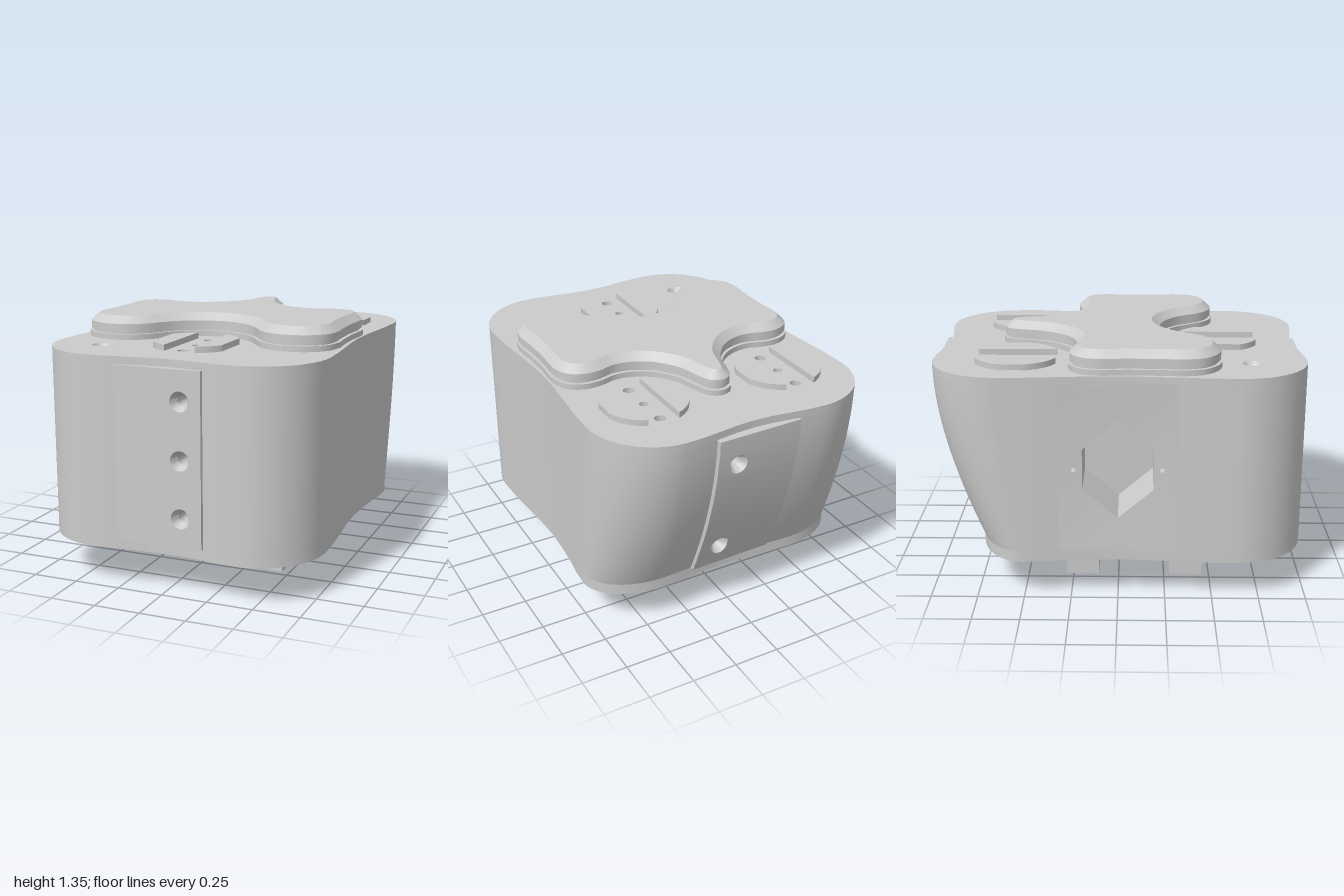
import * as THREE from 'three';
import { toCreasedNormals, mergeGeometries, mergeVertices } from 'three/addons/utils/BufferGeometryUtils.js';

const mat = new THREE.MeshStandardMaterial({ color: 0xcccccc, side: THREE.DoubleSide });
const Y0 = 0.21, Y1 = 0.27, Y2 = 1.18, Y3 = 1.22;
const V2 = (x, y) => new THREE.Vector2(x, y);
const V3 = (x, y, z) => new THREE.Vector3(x, y, z);

// Waisted plan of the case: distance of the side and end walls
const wave = t => (1 - Math.cos(Math.PI * t)) / 2;
const sideX = z => 0.72 + 0.037 * wave(z / 0.62);
const endZ = x => 0.947 + 0.038 * wave(x / 0.4);
// The back wall sweeps inwards towards the base
const backZ = y => 0.74 + 0.245 * (1 - Math.pow(1 - THREE.MathUtils.clamp((y - Y1) / (Y2 - Y1), 0, 1), 1.7));
const sweep = (z, y) => (z < -0.3 ? -0.3 + (z + 0.3) * (backZ(y) - 0.3) / 0.685 : z);

// Plan outline as (x, z) points: one side, corner, end and corner, then the same turned by half
function planOutline() {
  const half = [];
  for (let i = 0; i < 8; i++) { const z = -0.62 + i * 0.155; half.push(V2(sideX(z), z)); }
  for (let i = 0; i < 12; i++) {
    const a = (i / 12) * Math.PI / 2;
    half.push(V2(0.4 + 0.357 * Math.cos(a), 0.62 + 0.365 * Math.sin(a)));
  }
  for (let i = 0; i < 8; i++) { const x = 0.4 - i * 0.1; half.push(V2(x, endZ(x))); }
  for (let i = 0; i < 12; i++) {
    const a = Math.PI / 2 + (i / 12) * Math.PI / 2;
    half.push(V2(-0.4 + 0.357 * Math.cos(a), 0.62 + 0.365 * Math.sin(a)));
  }
  // the front end stands slightly further out than the back
  return [...half, ...half.map(p => V2(-p.x, -p.y))].map(p => V2(p.x, p.y > 0.62 ? p.y * 1.009 : p.y));
}
const PLAN = planOutline();

// Skin between rows of points; skip(a, b) leaves gaps
function loft(rows, closed = true, skip = () => false) {
  const n = rows[0].length, idx = [];
  for (let r = 0; r < rows.length - 1; r++) {
    for (let i = 0; i < (closed ? n : n - 1); i++) {
      const j = (i + 1) % n, a = r * n + i, b = r * n + j;
      if (!skip(rows[0][i], rows[0][j])) idx.push(a, a + n, b, b, a + n, b + n);
    }
  }
  const g = new THREE.BufferGeometry().setFromPoints(rows.flat());
  g.setIndex(idx);
  g.computeVertexNormals();
  return g;
}

const circle = (x, y, r) => new THREE.Path().absarc(x, y, r, 0, Math.PI * 2, true);

// Horizontal plate from (x, z) points, holes as [x, z, r]
function slab(pts, y0, y1, holes = []) {
  const s = new THREE.Shape(pts.map(p => V2(p.x, -p.y)));
  holes.forEach(([x, z, r]) => s.holes.push(circle(x, -z, r)));
  const g = new THREE.ExtrudeGeometry(s, { depth: y1 - y0, bevelEnabled: false, curveSegments: 20 });
  return toCreasedNormals(g.rotateX(-Math.PI / 2).translate(0, y0, 0), 0.6);
}

export function createModel() {
  const model = new THREE.Group();
  const add = (name, geo) => {
    const m = new THREE.Mesh(geo, mat);
    m.name = name;
    model.add(m);
    return m;
  };
  const rect = (x0, x1, z0, z1) => [V2(x0, z0), V2(x1, z0), V2(x1, z1), V2(x0, z1)];

  // Countersunk screw hole lining, opening along +y before turning
  const screwHole = (name, x, y, z, turn, blind) => {
    const p = [V2(0.052, 0), V2(0.027, -0.04), V2(0.027, -0.2)];
    if (blind) p.push(V2(0, -0.2));
    const m = add(name, toCreasedNormals(new THREE.LatheGeometry(p, 24), 0.5));
    m.position.set(x, y, z);
    m.rotation.x = turn;
  };

  // Case walls, open behind the end panels and the hexagonal window
  const rows = [];
  for (let i = 0; i <= 14; i++) {
    const y = Y1 + (Y2 - Y1) * i / 14;
    rows.push(PLAN.map(p => V3(p.x, y, sweep(p.y, y))));
  }
  add('caseWall', loft(rows, true, (a, b) => {
    const x = (a.x + b.x) / 2, z = (a.z + b.z) / 2;
    return Math.abs(x) < 0.2 || (x < 0 && Math.abs(z) < 0.31);
  }));

  // Side wall with hexagonal window and two pin holes
  const hex = [[0, 0.27], [0.185, 0.11], [0.185, -0.11], [0, -0.27], [-0.185, -0.11], [-0.185, 0.11]]
    .map(([z, y]) => V2(z, 0.72 + y));
  const side = new THREE.Shape(rect(-0.31, 0.31, Y1, Y2));
  side.holes.push(new THREE.Path(hex), circle(0.23, 0.72, 0.012), circle(-0.23, 0.72, 0.012));
  const sideGeo = new THREE.ShapeGeometry(side, 8);
  const sp = sideGeo.attributes.position;
  for (let i = 0; i < sp.count; i++) sp.setXYZ(i, -sideX(sp.getX(i)), sp.getY(i), sp.getX(i));
  sideGeo.computeVertexNormals();
  add('windowWall', sideGeo);
  add('windowPocket', toCreasedNormals(loft([
    hex.map(p => V3(-sideX(p.x), p.y, p.x)), hex.map(p => V3(-0.4, p.y, p.x))]), 0.3));
  add('windowPocketFloor', new THREE.ShapeGeometry(new THREE.Shape(hex)).rotateY(-Math.PI / 2).translate(-0.4, 0, 0));

  // End panels, built in strips so the rear one follows the sweep
  const cuts = [Y1, 0.345, 0.51, 0.64, 0.8, 0.94, 1.1, Y2];
  const endPanel = (name, zAt, holes) => {
    const strips = [];
    for (let i = 0; i < cuts.length - 1; i++) {
      const s = new THREE.Shape(rect(-0.25, 0.225, cuts[i], cuts[i + 1]));
      holes.filter(h => h > cuts[i] && h < cuts[i + 1]).forEach(h => s.holes.push(circle(0.11, h, 0.052)));
      strips.push(new THREE.ShapeGeometry(s, 12));
    }
    let g = mergeGeometries(strips);
    const p = g.attributes.position;
    for (let i = 0; i < p.count; i++) p.setZ(i, zAt(p.getX(i), p.getY(i)));
    g.deleteAttribute('normal');
    g.deleteAttribute('uv');
    g = mergeVertices(g);
    // the rear panel looks the other way, so its triangles are turned round
    if (zAt(0, 1) < 0) g.index.array.reverse();
    g.computeVertexNormals();
    add(name, g);
    // returns that carry the panel edge back to the case
    const inset = (x, y, d) => { const z = zAt(x, y); return V3(x, y, z - Math.sign(z) * d); };
    [-0.25, 0.225].forEach(x => add(name + 'Edge',
      loft([0, 0.06].map(d => cuts.map(y => inset(x, y, d))), false)));
    [Y1, Y2].forEach(y => add(name + 'End',
      loft([0, 0.06].map(d => [-0.25, 0.225].map(x => inset(x, y, d))), false)));
  };
  const lift = x => 0.003 + 0.012 * (x + 0.25) / 0.475;
  const frontZ = x => 0.985 + lift(x), rearZ = (x, y) => -backZ(y) - lift(x);
  endPanel('frontPanel', frontZ, [0.42, 0.72, 1.02]);
  endPanel('rearPanel', rearZ, [0.44, 1.02]);
  [0.42, 0.72, 1.02].forEach(y => screwHole('frontScrewHole', 0.11, y, frontZ(0.11), Math.PI / 2, y < 1));
  [0.44, 1.02].forEach(y => screwHole('rearScrewHole', 0.11, y, rearZ(0.11, y), -Math.PI / 2, y < 1));

  // Base plate and lid
  const baseHoles = [[-0.47, 0.7], [0.58, -0.06], [0, -0.53], [0, 0.1]];
  add('basePlate', slab(PLAN.map(p => V2(p.x, sweep(p.y, Y1))), Y0, Y1, baseHoles.map(h => [...h, 0.052])));
  baseHoles.forEach(([x, z], i) => screwHole('baseScrewHole', x, i === 3 ? 0.19 : Y0, z, Math.PI, i > 0));
  const pods = [[-0.4, -0.54], [0.4, -0.54], [0, 0.54]];
  const pits = pods.flatMap(([x, z]) => [-0.17, 0, 0.17].map(d => [x, z + d, d ? 0.03 : 0.024]));
  add('lid', slab(PLAN, Y2, Y3, [[-0.47, 0.7, 0.052], ...pits]));
  screwHole('lidScrewHole', -0.47, Y3, 0.7, 0, false);
  pits.forEach(([x, z, r]) => add('podPit', toCreasedNormals(new THREE.LatheGeometry(
    [V2(r, Y3), V2(r, Y3 - 0.12), V2(0, Y3 - 0.12)], 20), 0.5)).position.set(x, 0, z));

  // Round pods: a pair of raised segments either side of a channel
  pods.forEach(([x, z], k) => {
    const xMax = k === 2 ? 0.195 : 0.222;
    [-1, 1].forEach(s => {
      const seg = [];
      for (let i = 0; i <= 10; i++) {
        const u = 0.085 + (xMax - 0.085) * Math.sin((i / 10) * Math.PI / 2);
        seg.push(V2(u, Math.sqrt(0.228 ** 2 - u * u)));
      }
      const ring = [...seg, ...seg.map(p => V2(p.x, -p.y)).reverse()].map(p => V2(x + s * p.x, z + p.y));
      add('podSegment', slab(ring, Y3, 1.252));
    });
    if (k < 2) add('podRim', new THREE.RingGeometry(0.222, 0.228, 40).rotateX(-Math.PI / 2).translate(x, Y3 + 0.002, z));
  });

  // Raised pad with a groove round its foot and a chamfered top
  const halfPad = [[0.055, -0.615], [0.088, -0.54], [0.125, -0.41], [0.215, -0.29], [0.31, -0.235], [0.41, -0.222],
    [0.5, -0.247], [0.59, -0.247], [0.665, -0.205], [0.7, -0.12], [0.695, 0.05], [0.699, 0.22], [0.706, 0.34],
    [0.675, 0.445], [0.59, 0.513], [0.49, 0.531], [0.4, 0.512], [0.33, 0.46], [0.23, 0.325], [0.13, 0.253]];
  const padPts = [[0, -0.638], ...halfPad, [0, 0.222], ...halfPad.map(([x, z]) => [-x, z]).reverse()];
  const padCurve = new THREE.CatmullRomCurve3(padPts.map(([x, z]) => V3(x, 0, z)), true);
  const N = 160;
  const padRing = (off, y) => Array.from({ length: N }, (_, i) => {
    const p = padCurve.getPointAt(i / N), t = padCurve.getTangentAt(i / N);
    return V3(p.x - t.z * off, y, p.z + t.x * off);
  });
  add('padSide', toCreasedNormals(loft([[-0.008, Y3], [-0.008, 1.25], [0.012, 1.25], [0.012, 1.262], [0, 1.262],
    [0, 1.305], [0.045, 1.345]].map(([o, y]) => padRing(o, y))), 0.5));
  add('padTop', new THREE.ShapeGeometry(new THREE.Shape(padRing(0.045, 0).map(p => V2(p.x, -p.z))))
    .rotateX(-Math.PI / 2).translate(0, 1.345, 0));

  // Mounting rails under the base, cross-drilled, with a thin web between
  [0.28, -0.29].forEach(z => {
    const s = new THREE.Shape(rect(-0.46, 0.46, 0, Y0));
    s.holes.push(circle(0.38, 0.095, 0.035));
    const g = new THREE.ExtrudeGeometry(s, { depth: 0.18, bevelEnabled: false, curveSegments: 20 });
    add('mountingRail', toCreasedNormals(g.translate(0, 0, z), 0.6));
  });
  add('railWeb', slab(rect(-0.46, 0.46, -0.11, 0.28), 0.19, Y0, [[0, 0.1, 0.052]]));

  return model;
}
